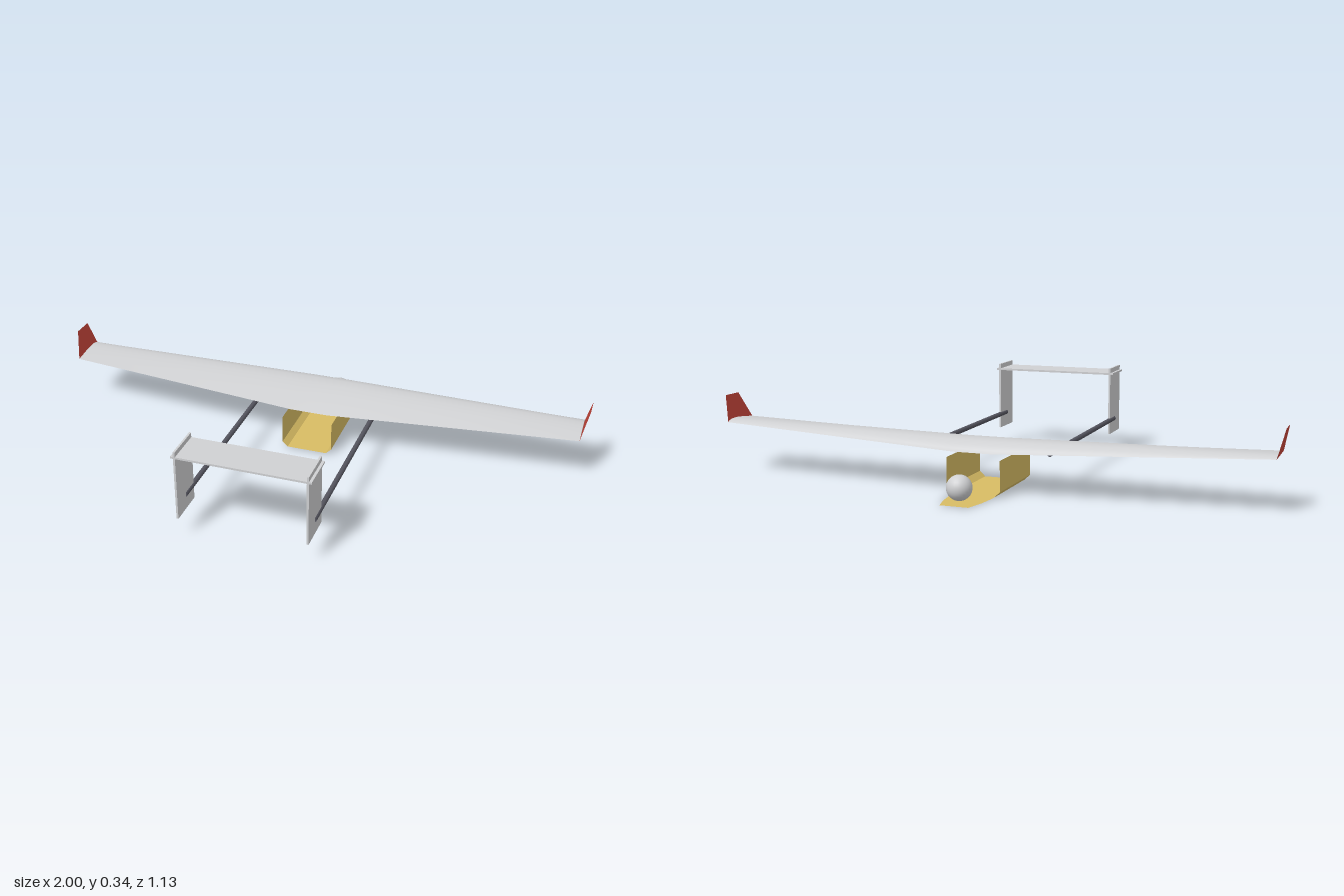
import * as THREE from 'three';

const mat = (name, color) => {
  const m = new THREE.MeshStandardMaterial({ color, side: THREE.DoubleSide });
  m.name = name;
  return m;
};

// Surface through rows of points: rows[i][j] = [x, y, z]
function sheet(rows, smooth = true) {
  const n = rows[0].length, index = [];
  for (let i = 0; i < rows.length - 1; i++) {
    for (let j = 0; j < n - 1; j++) {
      const a = i * n + j, b = a + n;
      index.push(a, b, a + 1, b, b + 1, a + 1);
    }
  }
  let g = new THREE.BufferGeometry();
  g.setAttribute('position', new THREE.Float32BufferAttribute(rows.flat(2), 3));
  g.setIndex(index);
  if (!smooth) g = g.toNonIndexed();
  g.computeVertexNormals();
  return g;
}

export function createModel() {
  const group = new THREE.Group();
  const skin = mat('light grey', 0xcfd0d2);
  const gold = mat('gold', 0xd8bc64);
  const red = mat('red', 0xc8463b);
  const dark = mat('dark grey', 0x55555f);

  const add = (name, geometry, material, x = 0, y = 0, z = 0) => {
    const mesh = new THREE.Mesh(geometry, material);
    mesh.name = name;
    mesh.position.set(x, y, z);
    group.add(mesh);
    return mesh;
  };

  // Tapered wing: flat underside, arched top, slight dihedral
  const foil = [[0, 0], [0.02, 0.28], [0.07, 0.6], [0.15, 0.87], [0.25, 1],
    [0.4, 0.97], [0.6, 0.72], [0.8, 0.38], [1, 0]];
  const span = [0.07, 0.25, 0.4, 0.55, 0.7, 0.85, 0.977];
  const stations = [...span.map((x) => -x).reverse(), 0, ...span];
  const section = (x, top) => {
    const t = Math.max(0, (Math.abs(x) - 0.07) / 0.907);
    const lead = THREE.MathUtils.lerp(-0.4, -0.34, t);
    const trail = THREE.MathUtils.lerp(-0.13, -0.184, t);
    const base = THREE.MathUtils.lerp(0.146, 0.181, t);
    const thick = THREE.MathUtils.lerp(0.039, 0.011, t);
    return foil.map(([u, h]) => [x, base + (top ? h * thick : 0), lead + (trail - lead) * u]);
  };
  add('wingTop', sheet(stations.map((x) => section(x, true)).reverse()), skin);
  add('wingUnderside', sheet(stations.map((x) => section(x, false))), skin);

  for (const s of [1, -1]) {
    const side = s > 0 ? 'left' : 'right';

    // Wing end cap
    const cap = [section(s * 0.977, true), section(s * 0.977, false)];
    add(side + 'WingEnd', sheet(s > 0 ? cap.reverse() : cap), skin);

    // Swept-up winglet, leaning outward
    const low = [[s * 0.977, 0.181, -0.34], [s * 0.977, 0.181, -0.184]];
    const high = [[s, 0.275, -0.315], [s, 0.275, -0.235]];
    add(side + 'Winglet', sheet(s > 0 ? [high, low] : [low, high], false), red);

    // Tail boom and fin
    const boom = new THREE.CylinderGeometry(0.009, 0.009, 0.78, 12).rotateX(Math.PI / 2);
    add(side + 'TailBoom', boom, dark, s * 0.226, 0.134, 0.115);
    add(side + 'TailFin', new THREE.BoxGeometry(0.007, 0.256, 0.134), skin, s * 0.226, 0.209, 0.505);
  }

  // Tailplane joining the fins
  add('tailplane', new THREE.BoxGeometry(0.478, 0.007, 0.134), skin, 0, 0.316, 0.505);

  // Open-ended fuselage trough with chamfered lower edges
  const trough = [[-0.095, 0.125], [-0.095, 0.02], [-0.075, 0.001],
    [0.075, 0.001], [0.095, 0.02], [0.095, 0.125]];
  const hull = [-0.395, -0.1].map((z) => trough.map(([x, y]) => [x, y, z]));
  add('fuselage', sheet(hull.reverse(), false), gold);

  // Flat nose plate continuing the floor
  const outline = [[0.075, -0.395], [0.073, -0.43], [0.066, -0.49], [0.05, -0.555]];
  const nose = outline.map(([x, z]) => [[-x, 0.001, z], [x, 0.001, z]]);
  add('nosePlate', sheet(nose.reverse().map((r) => r.reverse()), false), gold);

  // Ball sensor on the nose
  add('noseBall', new THREE.SphereGeometry(0.043, 24, 16), skin, 0, 0.053, -0.51);

  return group;
}
